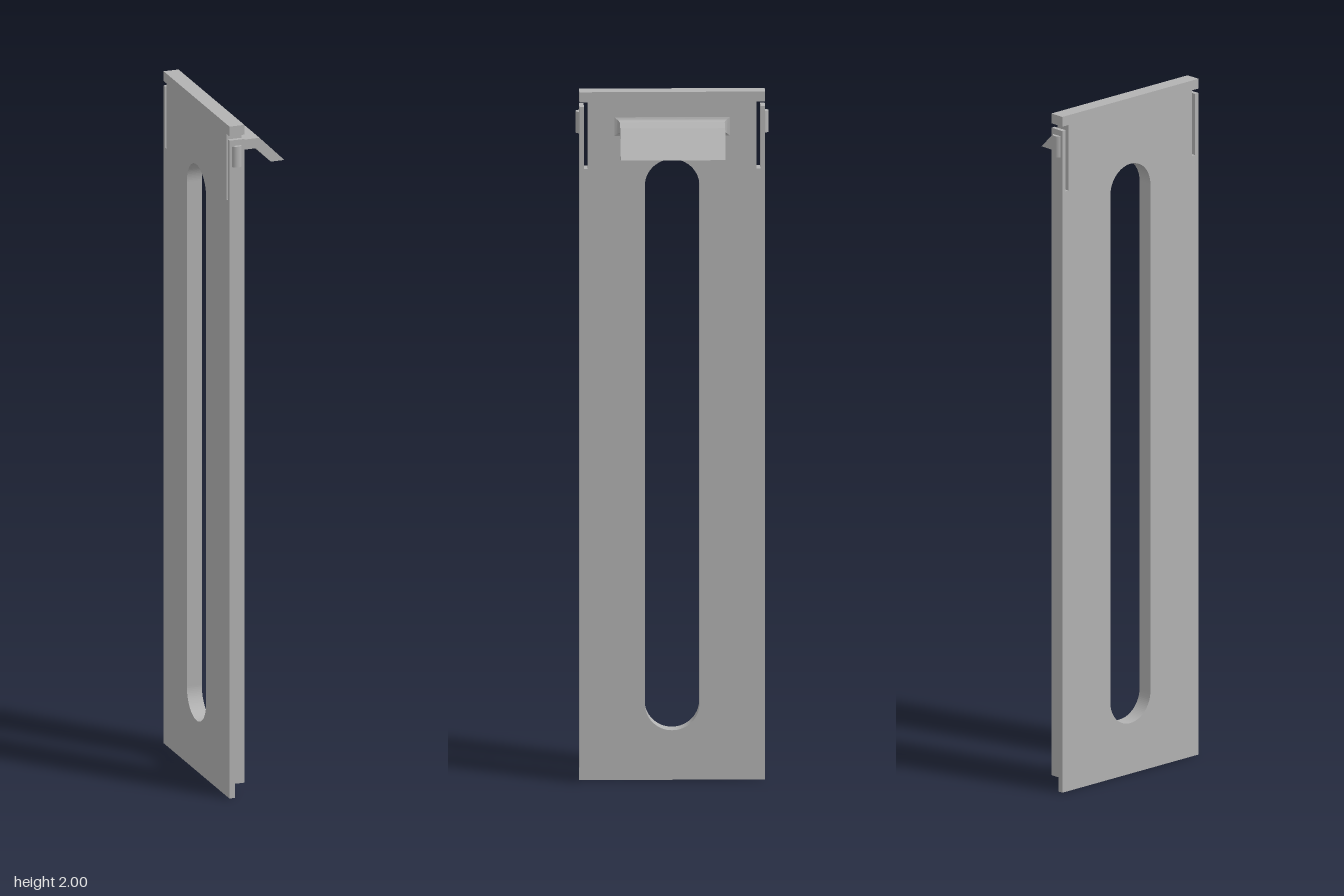
import * as THREE from 'three';

export function createModel() {
  const group = new THREE.Group();
  const grey = new THREE.MeshStandardMaterial({ color: 0xb2b2b2 });
  grey.name = 'grey';

  const add = (name, geometry, x = 0, y = 0, z = 0) => {
    const mesh = new THREE.Mesh(geometry, grey);
    mesh.name = name;
    mesh.position.set(x, y, z);
    group.add(mesh);
    return mesh;
  };

  const back = -0.105, face = -0.06, halfWidth = 0.262;

  // Plate outline: L-shaped slits free a flexible clip arm at each upper edge
  const side = [
    [halfWidth, 0.042], [halfWidth, 1.958], [0.249, 1.958], [0.249, 1.777],
    [0.238, 1.777], [0.238, 1.971], [halfWidth, 1.971], [halfWidth, 2],
  ];
  const outline = [...side, ...side.map(([u, v]) => [-u, v]).reverse()];
  const plate = new THREE.Shape(outline.map(([u, v]) => new THREE.Vector2(u, v)));

  // Long rounded slot
  const r = 0.077;
  const slot = new THREE.Path();
  slot.absarc(0, 1.805 - r, r, 0, Math.PI, false);
  slot.absarc(0, 0.15 + r, r, Math.PI, Math.PI * 2, false);
  slot.closePath();
  plate.holes.push(slot);

  const plateGeometry = new THREE.ExtrudeGeometry(plate, {
    depth: face - back, bevelEnabled: false, curveSegments: 24,
  });
  plateGeometry.rotateY(Math.PI / 2);
  add('slottedPlate', plateGeometry, back);

  // Thin lip under the plate
  add('bottomLip', new THREE.BoxGeometry(0.017, 0.042, halfWidth * 2), back + 0.0085, 0.021);

  // Rounded catches on the clip arms
  for (const s of [1, -1]) {
    const catchGeometry = new THREE.CylinderGeometry(
      0.0155, 0.0155, 0.062, 24, 1, false, -Math.PI / 2, Math.PI);
    if (s < 0) catchGeometry.rotateY(Math.PI);
    add(s > 0 ? 'frontCatch' : 'backCatch', catchGeometry, -0.083, 1.91, s * 0.257);
  }

  // Bent finger tab
  const fillet = 0.015, tabWidth = 0.296;
  const profile = [
    [face + fillet, 1.885], [0.018, 1.885], [0.063, 1.84],
    [0.104, 1.84], [0.029, 1.915], [face + fillet, 1.915],
  ];
  const tab = new THREE.Shape(profile.map(([x, y]) => new THREE.Vector2(x, y)));
  add('fingerTab', new THREE.ExtrudeGeometry(tab, { depth: tabWidth, bevelEnabled: false }),
    0, 0, -tabWidth / 2);

  // Flared root blending the tab into the plate
  const root = new THREE.BoxGeometry(fillet, 0.03, tabWidth, 8, 1, 1);
  const p = root.attributes.position;
  for (let i = 0; i < p.count; i++) {
    const t = p.getX(i) + fillet / 2;
    const flare = fillet - Math.sqrt(Math.max(0, fillet ** 2 - (fillet - t) ** 2));
    p.setY(i, p.getY(i) + Math.sign(p.getY(i)) * flare * 0.8);
    p.setZ(i, p.getZ(i) + Math.sign(p.getZ(i)) * flare);
  }
  root.computeVertexNormals();
  add('tabRoot', root, face + fillet / 2, 1.9);

  return group;
}
